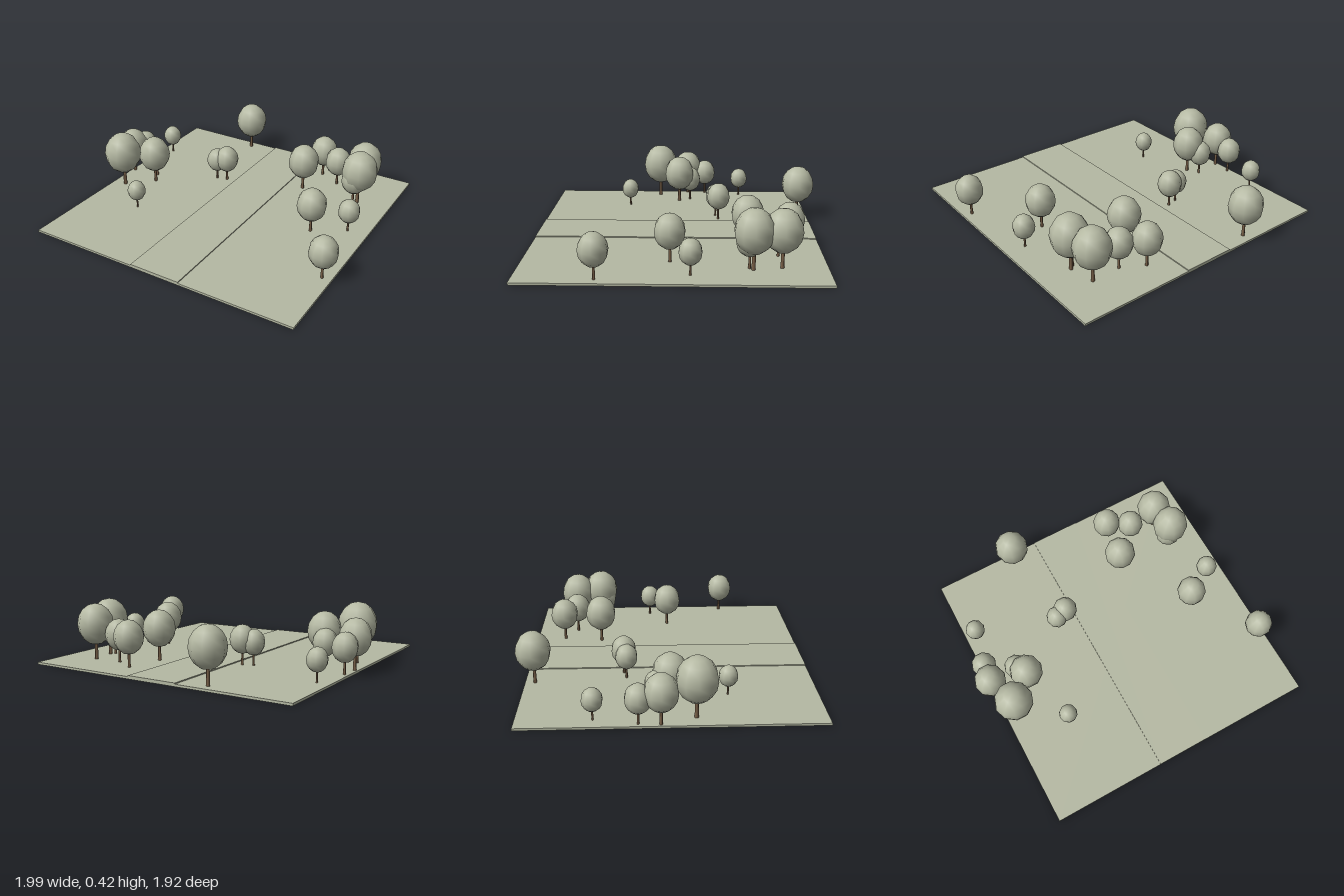
import * as THREE from 'three';

export function createModel() {
  const model = new THREE.Group();
  model.name = 'park';

  const sage = new THREE.MeshStandardMaterial({ color: 0xb5b9a3 });
  sage.name = 'sage green';
  const bark = new THREE.MeshStandardMaterial({ color: 0x7c634a });
  bark.name = 'bark brown';

  const add = (parent, name, geometry, material, x, y, z) => {
    const mesh = new THREE.Mesh(geometry, material);
    mesh.name = name;
    mesh.position.set(x, y, z);
    parent.add(mesh);
    return mesh;
  };

  // Flat lawn with a slightly raised path running front to back
  const size = 1.876, groundTop = 0.015, centre = 0.023;
  add(model, 'lawn', new THREE.BoxGeometry(size, groundTop, size), sage, centre, groundTop / 2, centre);
  add(model, 'path', new THREE.BoxGeometry(0.35, 0.007, size), sage, 0.023, groundTop + 0.0035, centre);

  // Trees: x, z, crown radius
  const trees = [
    [-0.34, -0.85, 0.115], [-0.83, -0.45, 0.066], [-0.885, -0.18, 0.083],
    [-0.895, -0.045, 0.106], [-0.70, -0.065, 0.08], [-0.657, 0.016, 0.111],
    [-0.82, 0.168, 0.129], [-0.54, 0.385, 0.062], [-0.29, -0.255, 0.074],
    [-0.217, -0.273, 0.083], [0.355, -0.713, 0.097], [0.505, -0.63, 0.091],
    [0.702, -0.635, 0.12], [0.318, -0.447, 0.108], [0.735, -0.46, 0.124],
    [0.71, -0.438, 0.09], [0.825, -0.085, 0.072], [0.617, 0.043, 0.099],
    [0.90, 0.472, 0.092],
  ];
  const crownShape = new THREE.SphereGeometry(1, 10, 8);

  trees.forEach(([x, z, r]) => {
    const tree = new THREE.Group();
    tree.name = 'tree';
    tree.position.set(x, groundTop, z);
    model.add(tree);

    const crownY = 0.03 + 1.85 * r - groundTop;
    const trunk = new THREE.CylinderGeometry(r * 0.07, r * 0.1, crownY, 6);
    add(tree, 'trunk', trunk, bark, 0, crownY / 2, 0);
    add(tree, 'crown', crownShape, sage, 0, crownY, 0).scale.set(r, r * 1.15, r);
  });

  return model;
}
